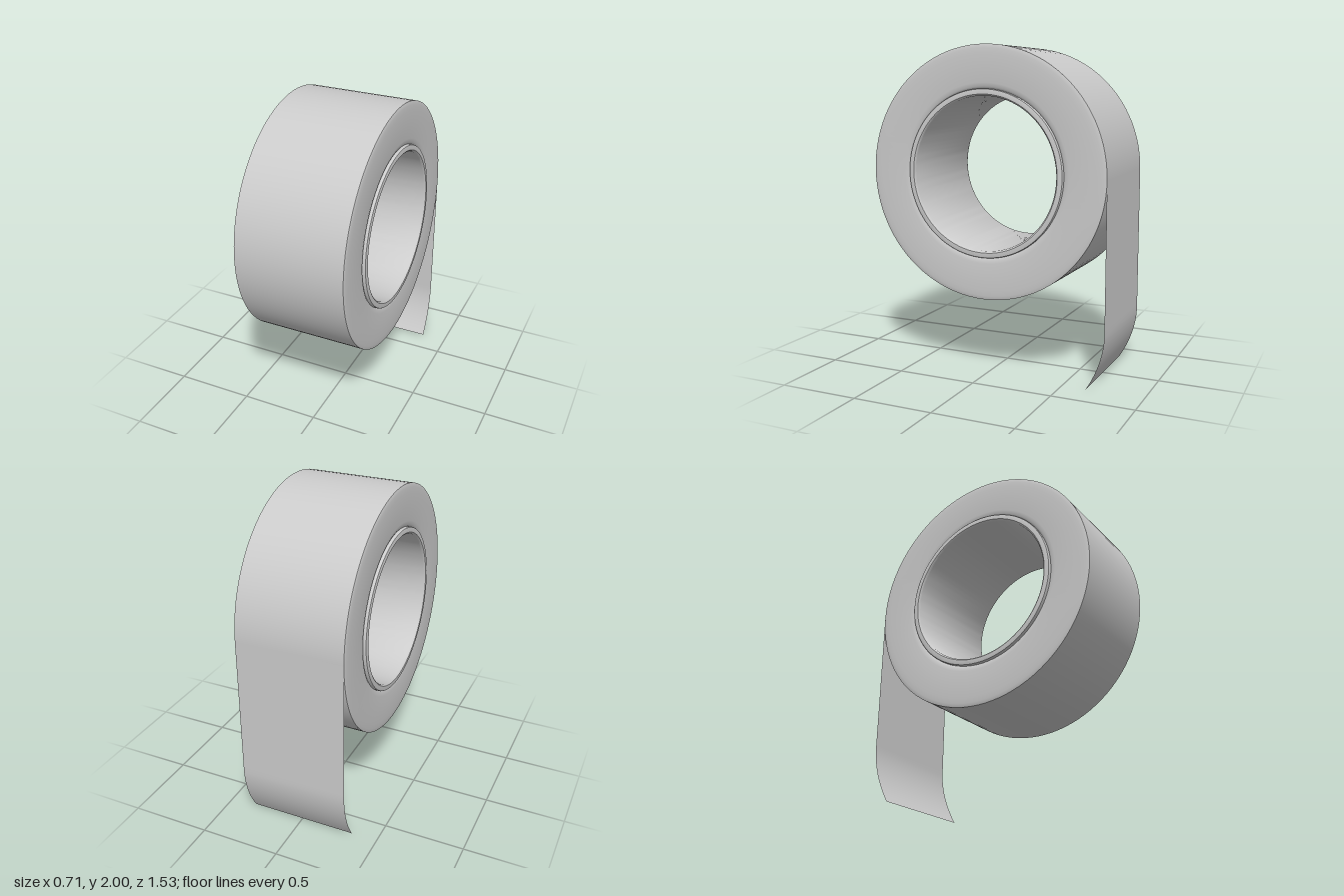
import * as THREE from 'three';
import { toCreasedNormals } from 'three/addons/utils/BufferGeometryUtils.js';

const CENTRE_Y = 1.237;
const RADIUS = 0.763;

// Revolves a half profile of [radius, x], mirrored in x, around the roll's axis
function ring(name, half, material) {
  const mirrored = half.map(([r, x]) => [r, -x]);
  const loop = [...mirrored, ...half.slice().reverse(), mirrored[0]];
  const lathe = new THREE.LatheGeometry(loop.map(([r, x]) => new THREE.Vector2(r, x)), 96);
  const geometry = toCreasedNormals(lathe, 0.6);
  geometry.rotateZ(-Math.PI / 2);
  const mesh = new THREE.Mesh(geometry, material);
  mesh.name = name;
  mesh.position.y = CENTRE_Y;
  return mesh;
}

export function createModel() {
  const group = new THREE.Group();
  group.name = 'tapeRoll';
  const material = new THREE.MeshStandardMaterial({ color: 0xcccccc });
  const stripMaterial = new THREE.MeshStandardMaterial({ color: 0xcccccc, side: THREE.DoubleSide });

  // Wound tape, with softened inner and outer edges
  group.add(ring('woundTape', [
    [0.5, 0.325], [0.506, 0.334], [0.518, 0.34], [0.54, 0.344],
    [0.71, 0.344], [0.74, 0.342], [0.755, 0.34], [RADIUS, 0.337],
  ], material));

  // Inner core tube, standing slightly proud of the tape
  group.add(ring('core', [
    [0.463, 0.343], [0.466, 0.35], [0.473, 0.355],
    [0.495, 0.355], [0.502, 0.353], [0.505, 0.348],
  ], material));

  // Loose end hanging from the back, curling forward at the bottom
  const path = new THREE.CurvePath();
  const top = new THREE.Vector2(-RADIUS, CENTRE_Y);
  const bend = new THREE.Vector2(-RADIUS, 0.33);
  path.add(new THREE.LineCurve(top, bend));
  path.add(new THREE.CubicBezierCurve(bend, new THREE.Vector2(-0.757, 0.22),
    new THREE.Vector2(-0.72, 0.11), new THREE.Vector2(-0.65, 0)));
  const rows = 32;
  const strip = new THREE.PlaneGeometry(0.674, 1, 1, rows);
  strip.rotateY(Math.PI);
  const position = strip.attributes.position;
  for (let i = 0; i < position.count; i++) {
    const p = path.getPoint(Math.floor(i / 2) / rows);
    position.setY(i, p.y);
    position.setZ(i, p.x);
  }
  strip.computeVertexNormals();
  const looseEnd = new THREE.Mesh(strip, stripMaterial);
  looseEnd.name = 'looseEnd';
  group.add(looseEnd);

  return group;
}
